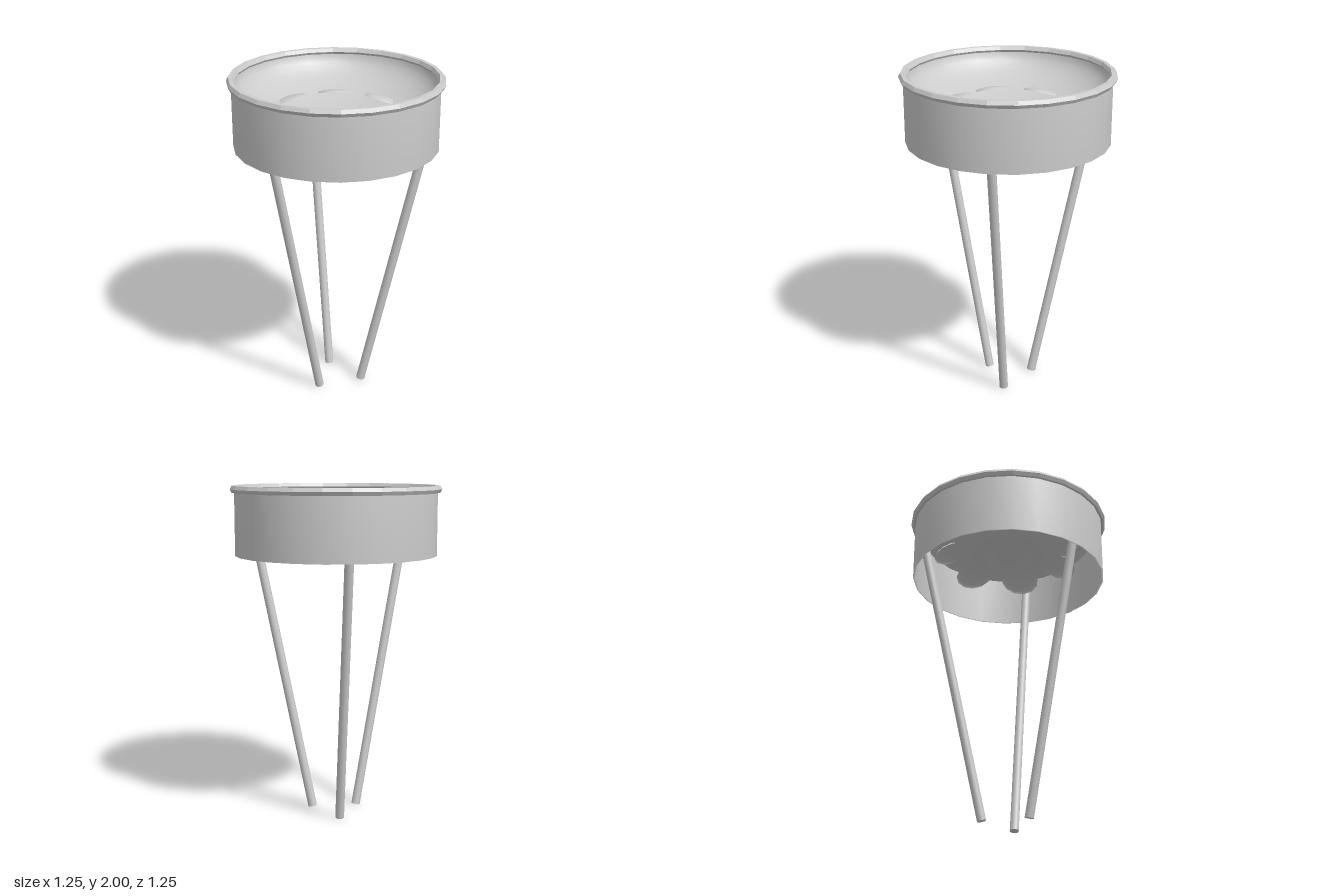
import * as THREE from 'three';

const steel = new THREE.MeshStandardMaterial({ color: 0xcccccc, side: THREE.DoubleSide });
steel.name = 'steel';
const rimSteel = steel.clone();
rimSteel.name = 'rimSteel';
rimSteel.flatShading = true;

const SIDES = 24;
const points = (list) => list.map(([r, y]) => new THREE.Vector2(r, y));

function add(parent, name, geometry, material = steel) {
  const mesh = new THREE.Mesh(geometry, material);
  mesh.name = name;
  parent.add(mesh);
  return mesh;
}

// Shallow dome, open below, with its rim at y = 0
function domeGeometry(radius, height) {
  const profile = [];
  for (let i = 0; i <= 4; i++) {
    const a = (i / 4) * Math.PI / 2;
    profile.push([radius * Math.cos(a), height * Math.sin(a)]);
  }
  return new THREE.LatheGeometry(points(profile), 12);
}

export function createModel() {
  const drum = new THREE.Group();
  drum.name = 'steelDrum';

  // Thin open skirt, inside wall then outside wall
  add(drum, 'skirt', new THREE.LatheGeometry(
    points([[0.59, 1.96], [0.59, 1.59], [0.6, 1.59], [0.6, 1.97], [0.585, 1.975]]), SIDES));

  // Faceted rolled rim
  const rim = add(drum, 'rim', new THREE.TorusGeometry(0.602, 0.024, 6, SIDES), rimSteel);
  rim.rotation.x = Math.PI / 2;
  rim.position.y = 1.979;

  // Sunken playing surface, half an ellipsoid
  const bowl = [];
  for (let i = 0; i <= 12; i++) {
    const a = (i / 12) * Math.PI / 2;
    bowl.push([0.588 * Math.cos(a), 1.98 - 0.23 * Math.sin(a)]);
  }
  add(drum, 'playingBowl', new THREE.LatheGeometry(points(bowl), SIDES));

  // Seven tilted note domes crossing the bowl
  const noteShape = domeGeometry(0.12, 0.028);
  for (let i = 0; i < 7; i++) {
    const arm = new THREE.Group();
    arm.name = 'note' + (i + 1);
    arm.rotation.y = (i / 7) * Math.PI * 2;
    const note = add(arm, 'noteDome', noteShape);
    note.position.set(0.358, 1.782, 0);
    note.rotation.z = -0.35;
    drum.add(arm);
  }

  // Centre note, a lip below the bowl
  add(drum, 'centreNote', new THREE.LatheGeometry(
    points([[0.143, 1.737], [0.12, 1.746], [0.09, 1.753]]), 12));

  // Three splayed legs
  const foot = new THREE.Vector3(0.158, 0.006, 0);
  const head = new THREE.Vector3(0.556, 1.79, 0);
  const axis = head.clone().sub(foot);
  const legShape = new THREE.CylinderGeometry(0.027, 0.027, axis.length(), 12);
  for (let i = 0; i < 3; i++) {
    const arm = new THREE.Group();
    arm.name = 'leg' + (i + 1);
    arm.rotation.y = (i / 3) * Math.PI * 2;
    const leg = add(arm, 'legTube', legShape);
    leg.position.copy(foot).add(head).multiplyScalar(0.5);
    leg.quaternion.setFromUnitVectors(new THREE.Vector3(0, 1, 0), axis.clone().normalize());
    drum.add(arm);
  }

  return drum;
}
